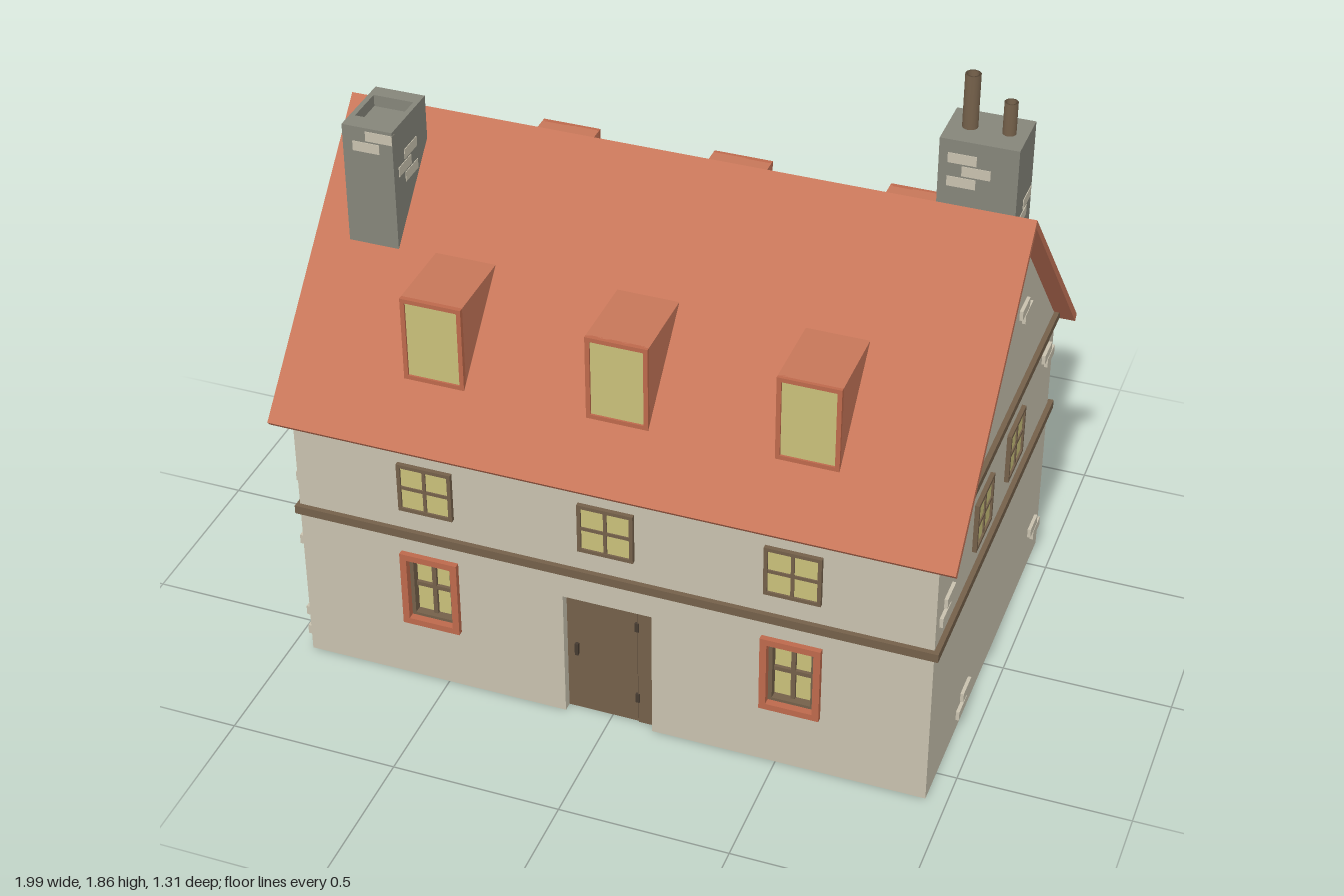
import * as THREE from 'three';

const mat = (name, color, opts = {}) => {
  const m = new THREE.MeshStandardMaterial({ color, ...opts });
  m.name = name;
  return m;
};

export function createModel() {
  const plaster = mat('plaster', 0xc8c1ae);
  const tile = mat('roofTile', 0xc67659);
  const trim = mat('windowTrim', 0xbd694c);
  const timber = mat('timber', 0x74604a);
  const glass = mat('litGlass', 0xc9c07a);
  const stone = mat('chimneyStone', 0x85857a);
  const iron = mat('darkIron', 0x453a30);

  const house = new THREE.Group();
  house.name = 'house';

  const add = (parent, name, geo, material, x = 0, y = 0, z = 0) => {
    const m = new THREE.Mesh(geo, material);
    m.name = name;
    m.position.set(x, y, z);
    parent.add(m);
    return m;
  };
  const box = (parent, name, material, w, h, d, x, y, z) =>
    add(parent, name, new THREE.BoxGeometry(w, h, d), material, x, y, z);
  const group = (name, x = 0, y = 0, z = 0, turn = 0, parent = house) => {
    const g = new THREE.Group();
    g.name = name;
    g.position.set(x, y, z);
    g.rotation.y = turn;
    parent.add(g);
    return g;
  };
  const polygon = (pts) => new THREE.Shape(pts.map(([x, y]) => new THREE.Vector2(x, y)));
  // Extrudes a side profile of [-z, y] points along x, centred on x = 0
  const alongX = (pts, width) => {
    const g = new THREE.ExtrudeGeometry(polygon(pts), { depth: width, bevelEnabled: false });
    return g.translate(0, 0, -width / 2).rotateY(Math.PI / 2);
  };
  const columns = [-0.54, 0, 0.54];

  // Gabled core, stepped in where the long wall skins sit
  add(house, 'gabledBody', alongX([
    [-0.57, 0], [0.57, 0], [0.57, 0.85], [0.61, 0.85], [0, 1.52], [-0.61, 0.85], [-0.57, 0.85],
  ], 1.88), plaster);

  // Long wall skin with openings, 0.04 deep
  const wallSkin = (name, parent, outline, openings) => {
    const s = polygon(outline);
    for (const x of openings) {
      s.holes.push(new THREE.Path([[-0.07, 0.215], [-0.07, 0.435], [0.07, 0.435], [0.07, 0.215]]
        .map(([dx, y]) => new THREE.Vector2(x + dx, y))));
    }
    add(parent, name, new THREE.ExtrudeGeometry(s, { depth: 0.04, bevelEnabled: false }), plaster, 0, 0, 0.57);
  };
  const front = group('frontSide');
  const back = group('backSide', 0, 0, 0, Math.PI);
  wallSkin('frontWall', front, [
    [-0.94, 0], [-0.135, 0], [-0.135, 0.42], [0.13, 0.42], [0.13, 0], [0.94, 0], [0.94, 0.85], [-0.94, 0.85],
  ], [-0.54, 0.54]);
  wallSkin('backWall', back, [[-0.94, 0], [0.94, 0], [0.94, 0.85], [-0.94, 0.85]], columns);

  // Rectangular surround made of four bars
  const surround = (parent, name, material, w, h, t, d, z) => {
    for (const s of [-1, 1]) {
      box(parent, name, material, t, h, d, s * (w - t) / 2, 0, z);
      box(parent, name, material, w - 2 * t, t, d, 0, s * (h - t) / 2, z);
    }
  };
  const crossBars = (parent, w, h, t, d, z) => {
    box(parent, 'mullion', timber, t, h, d, 0, 0, z);
    box(parent, 'glazingBar', timber, w, t, d, 0, 0, z);
  };

  // Tall recessed windows with a coloured surround
  const tallWindow = (parent, x) => {
    const g = group('groundWindow', x, 0.325, 0.61, 0, parent);
    surround(g, 'windowSurround', trim, 0.175, 0.25, 0.02, 0.03, 0.002);
    box(g, 'windowPane', glass, 0.14, 0.22, 0.008, 0, 0, -0.034);
    surround(g, 'windowSash', timber, 0.14, 0.22, 0.014, 0.03, -0.02);
    crossBars(g, 0.13, 0.21, 0.013, 0.012, -0.026);
  };
  [-0.54, 0.54].forEach((x) => tallWindow(front, x));
  columns.forEach((x) => tallWindow(back, x));

  // Small upper windows
  const smallWindow = (x, z, turn) => {
    const g = group('upperWindow', x, 0.685, z, turn);
    box(g, 'windowPane', glass, 0.155, 0.15, 0.008, 0, 0, 0.003);
    surround(g, 'windowFrame', timber, 0.164, 0.16, 0.011, 0.014, 0.006);
    crossBars(g, 0.15, 0.145, 0.01, 0.01, 0.006);
  };
  columns.forEach((x) => smallWindow(x, 0.61, 0));
  for (const s of [-1, 1]) {
    for (const z of [-0.17, 0.17]) smallWindow(s * 0.94, z, s * Math.PI / 2);
  }

  // Recessed door
  const door = group('door', 0, 0, 0.575);
  box(door, 'doorLeaf', timber, 0.212, 0.42, 0.014, -0.029, 0.21, 0);
  box(door, 'doorJamb', timber, 0.05, 0.42, 0.022, 0.105, 0.21, 0);
  box(door, 'doorHandle', iron, 0.01, 0.04, 0.012, -0.105, 0.22, 0.012);
  for (const y of [0.09, 0.35]) box(door, 'doorHinge', iron, 0.012, 0.03, 0.01, 0.078, y, 0.01);

  // Timber bands
  box(house, 'frontBand', timber, 1.9, 0.027, 0.03, 0, 0.522, 0.61);
  box(house, 'sideBand', timber, 0.03, 0.027, 1.25, 0.94, 0.522, 0);
  box(house, 'gableBand', timber, 0.03, 0.025, 1.22, 0.94, 0.857, 0);

  // Roof
  add(house, 'roof', alongX([
    [-0.655, 0.837], [-0.64, 0.82], [0, 1.518], [0.64, 0.82], [0.655, 0.837], [0, 1.545],
  ], 1.99), tile);

  // Wedge dormers on both slopes
  for (const side of [front, back]) {
    for (const x of columns) {
      const g = group('dormer', x, 0, 0, 0, side);
      add(g, 'dormerBody', alongX([[-0.508, 0.97], [-0.508, 1.25], [-0.25, 1.25]], 0.18), tile);
      const face = group('dormerWindow', 0, 1.118, 0.508, 0, g);
      box(face, 'dormerPane', glass, 0.155, 0.245, 0.006, 0, 0, 0.001);
      surround(face, 'dormerFrame', trim, 0.18, 0.264, 0.013, 0.014, 0.003);
    }
  }

  // Slotted chimney on the front slope
  const slotted = group('slottedChimney', -0.815, 0, 0);
  box(slotted, 'chimneyStack', stone, 0.15, 0.36, 0.22, 0, 1.4, 0.17);
  box(slotted, 'chimneyRim', stone, 0.15, 0.035, 0.045, 0, 1.5975, 0.0825);
  box(slotted, 'chimneyRim', stone, 0.15, 0.035, 0.055, 0, 1.5975, 0.2525);
  for (const s of [-1, 1]) box(slotted, 'chimneyRim', stone, 0.015, 0.035, 0.12, s * 0.0675, 1.5975, 0.165);

  // Chimney with two hollow pots on the back slope
  const potted = group('pottedChimney', 0.81, 0, -0.155);
  box(potted, 'chimneyStack', stone, 0.22, 0.45, 0.17, 0, 1.475, 0);
  for (const [x, top, r] of [[-0.05, 1.86, 0.022], [0.058, 1.795, 0.019]]) {
    const pot = [[r, 1.69], [r, top], [r * 0.7, top], [r * 0.7, 1.705], [0, 1.705]]
      .map(([a, b]) => new THREE.Vector2(a, b));
    add(potted, 'chimneyPot', new THREE.LatheGeometry(pot, 16), timber, x, 0, 0)
      .geometry.computeVertexNormals();
  }

  // Staggered brick pairs; each group faces outward along its own z
  const bricks = (x, y, z, turn, flip = 1, rows = 2) => {
    const g = group('exposedBricks', x, y, z, turn);
    for (let i = 0; i < rows; i++) {
      box(g, 'brick', plaster, 0.08, 0.03, 0.02, flip * (i % 2 ? 0.02 : -0.02), -i * 0.036, 0);
    }
  };
  const E = Math.PI / 2;
  [[-0.185, 1.15, 1], [-0.535, 0.775, 1], [0.515, 0.64, -1], [0.25, 0.09, -1], [-0.535, 0.135, 1]]
    .forEach(([z, y, f]) => bricks(0.94, y, z, E, f));
  [[-0.52, 0.74, 1, 2], [-0.55, 0.13, -1, 3], [-0.15, 0.35, 1, 3], [0.25, 0.1, 1, 2], [0.55, 0.14, -1, 3],
    [0.55, 0.44, 1, 3], [0.54, 0.66, 1, 2], [0.24, 1.06, 1, 2]]
    .forEach(([z, y, f, n]) => bricks(-0.94, y, z, -E, f, n));
  [[0.62, 0.74], [-0.02, 0.66], [-0.65, 0.72], [0.26, 0.1], [-0.28, 0.1]]
    .forEach(([x, y], i) => bricks(x, y, -0.603, Math.PI, i % 2 ? 1 : -1));

  // Pale bricks on the chimneys
  bricks(-0.8, 1.59, 0.272, 0, -1);
  bricks(-0.748, 1.51, 0.19, E, -1, 3);
  bricks(-0.882, 1.5, 0.17, -E, 1, 2);
  bricks(0.785, 1.645, -0.078, 0, 1, 3);
  bricks(0.912, 1.49, -0.17, E, -1, 2);
  bricks(0.708, 1.6, -0.16, -E, 1, 3);
  bricks(0.82, 1.45, -0.232, Math.PI, 1, 2);

  return house;
}
